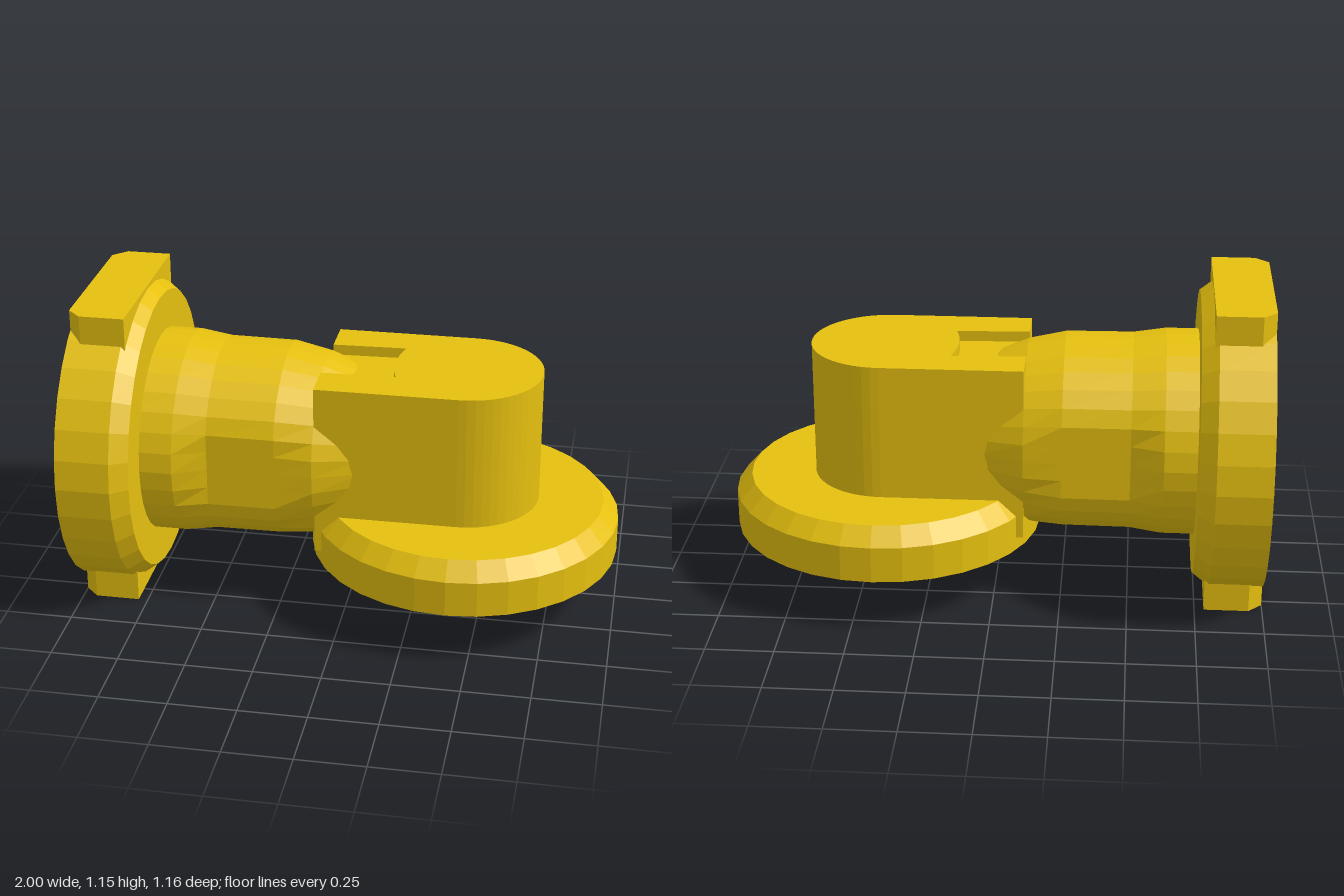
import * as THREE from 'three';

const material = new THREE.MeshStandardMaterial({ color: 0xe6c00f, flatShading: true });

function addPart(group, name, geometry) {
  const mesh = new THREE.Mesh(geometry, material);
  mesh.name = name;
  group.add(mesh);
  return mesh;
}

// Profile points are [radius, distance along the axis], in increasing distance.
function turned(points, sides) {
  return new THREE.LatheGeometry(points.map(([r, d]) => new THREE.Vector2(r, d)), sides);
}

// Plan outline in x and z, raised from y0 to y1.
function slab(shape, y0, y1) {
  return new THREE.ExtrudeGeometry(shape, { depth: y1 - y0, bevelEnabled: false, curveSegments: 14 })
    .rotateX(-Math.PI / 2)
    .translate(0, y0, 0);
}

// Block with one rounded end, optionally slotted at the square end.
function blockOutline(slotted) {
  const s = new THREE.Shape();
  s.moveTo(-0.11, -0.28);
  s.lineTo(0.415, -0.28);
  s.absarc(0.415, 0, 0.28, -Math.PI / 2, Math.PI / 2, false);
  s.lineTo(-0.11, 0.28);
  if (slotted) {
    s.lineTo(-0.11, 0.13);
    s.lineTo(0.165, 0.14);
    s.quadraticCurveTo(0.125, 0, 0.165, -0.12);
    s.lineTo(-0.11, -0.13);
  }
  s.closePath();
  return s;
}

export function createModel() {
  const model = new THREE.Group();
  model.name = 'pipeElbow';
  const axisY = 0.578;

  // Large end flange with a bevelled inner rim
  addPart(model, 'endFlange',
    turned([[0, -1], [0.575, -1], [0.575, -0.8], [0.53, -0.74], [0, -0.74]], 32)
      .rotateZ(-Math.PI / 2).translate(0, axisY, 0));

  // Rectangular lugs above and below the flange, clipped at the outer corners
  const lug = new THREE.Shape([
    [-0.95, -0.33], [-0.785, -0.33], [-0.785, 0.33], [-0.95, 0.33], [-1, 0.28], [-1, -0.28],
  ].map(([x, y]) => new THREE.Vector2(x, y)));
  addPart(model, 'upperLug', slab(lug, 1.015, 1.155));
  addPart(model, 'lowerLug', slab(lug, 0, 0.14));

  // Horizontal pipe, flattened on both sides beyond the collar
  const pipe = turned([[0.385, -0.78], [0.385, -0.62], [0.367, -0.5], [0.365, -0.25],
    [0.335, -0.11], [0.27, 0.06], [0, 0.06]], 32)
    .rotateZ(-Math.PI / 2);
  const p = pipe.attributes.position;
  for (let i = 0; i < p.count; i++) {
    if (p.getX(i) > -0.55) p.setZ(i, THREE.MathUtils.clamp(p.getZ(i), -0.33, 0.33));
    // The underside stays level up to the base flange
    if (p.getX(i) > -0.2 && p.getY(i) < -0.2) p.setY(i, p.getY(i) - 0.02);
  }
  pipe.translate(0, axisY, 0).computeVertexNormals();
  addPart(model, 'pipe', pipe);

  // Upright rounded block with a shallow slot in its top
  addPart(model, 'block', slab(blockOutline(false), 0.25, 0.87));
  addPart(model, 'blockTop', slab(blockOutline(true), 0.87, 0.91));

  // Round base flange with a bevelled upper rim
  addPart(model, 'baseFlange',
    turned([[0, 0.2], [0.578, 0.2], [0.578, 0.335], [0.52, 0.398], [0, 0.398]], 32)
      .translate(0.418, 0, 0));

  return model;
}
